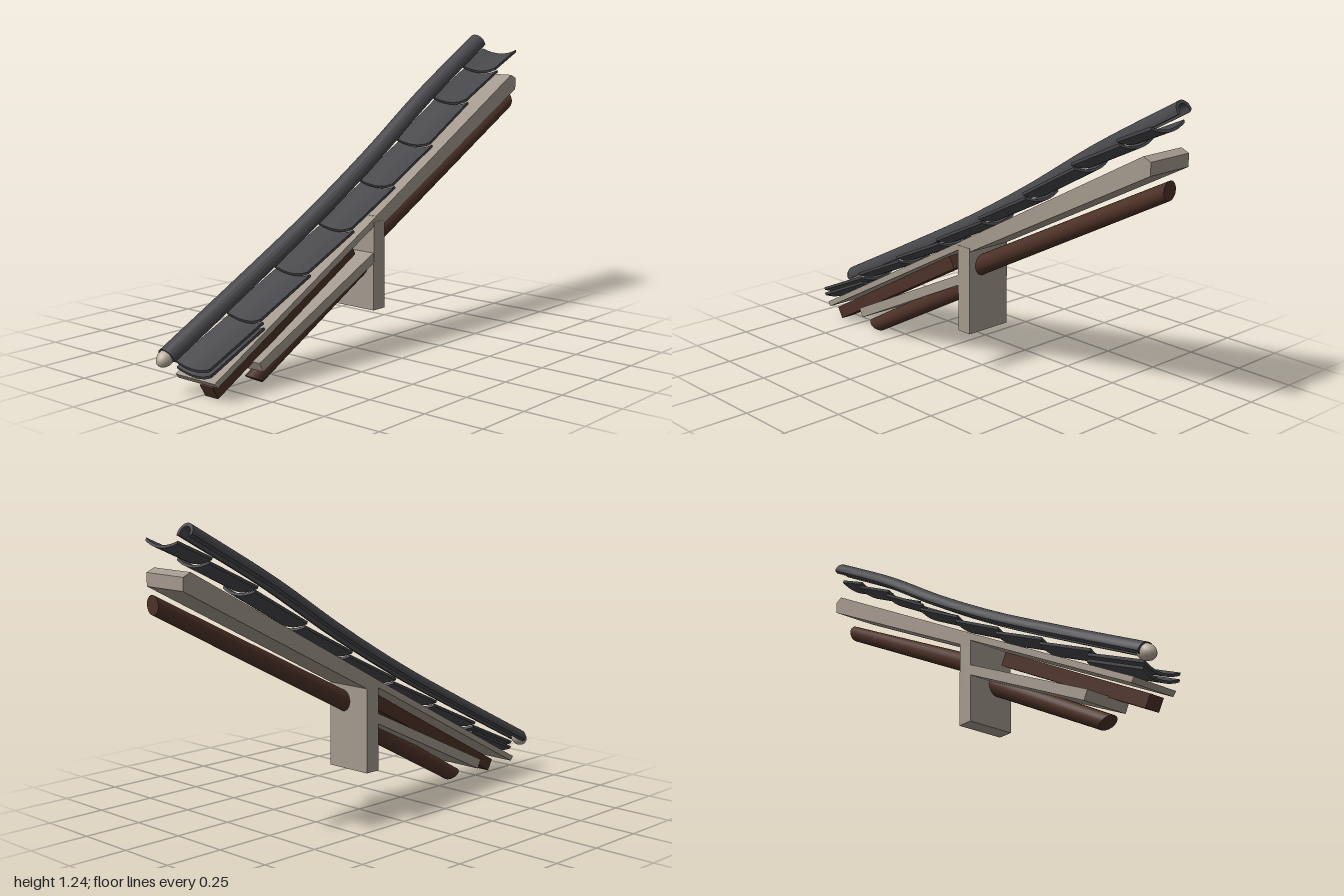
import * as THREE from 'three';
import { toCreasedNormals } from 'three/addons/utils/BufferGeometryUtils.js';

const material = (name, color) => {
  const m = new THREE.MeshStandardMaterial({ color });
  m.name = name;
  return m;
};

export function createModel() {
  const model = new THREE.Group();
  model.name = 'eavesRoofSection';
  const stone = material('weathered grey wood', 0xa3988d);
  const wood = material('dark brown wood', 0x4d3127);
  const tile = material('charcoal tile', 0x47474b);
  const clay = material('pale clay', 0xb8ac9e);

  const add = (name, geometry, mat) => {
    const mesh = new THREE.Mesh(geometry, mat);
    mesh.name = name;
    model.add(mesh);
    return mesh;
  };

  // Side profile in x and y, extruded from z0 to z1
  const slab = (name, points, z0, z1, mat) => {
    const shape = new THREE.Shape(points.map(([x, y]) => new THREE.Vector2(x, y)));
    const geo = new THREE.ExtrudeGeometry(shape, { depth: z1 - z0, bevelEnabled: false });
    return add(name, geo.translate(0, 0, z0), mat);
  };

  // Tapered sloping log with plumb ends; skew slants the lower end
  const log = (name, [x0, y0], [x1, y1], r0, r1, skew) => {
    const slope = (y1 - y0) / (x1 - x0);
    const stretch = Math.hypot(1, slope);
    const geo = new THREE.CylinderGeometry(r0, r1, x1 - x0, 20).rotateZ(Math.PI / 2);
    const p = geo.attributes.position;
    for (let i = 0; i < p.count; i++) {
      const y = p.getY(i) * stretch;
      let x = p.getX(i) + (x0 + x1) / 2;
      if (p.getX(i) < 0) x -= skew * y;
      p.setXYZ(i, x, y + y0 + slope * (x - x0), p.getZ(i) + 0.045);
    }
    add(name, toCreasedNormals(geo, 0.7), wood);
  };

  // Rafters, boards and post
  slab('upperBeam', [[0, 0.505], [0.97, 1.01], [0.97, 1.06], [0.935, 1.075], [0, 0.567]], -0.09, 0.115, stone);
  slab('eavesBoard', [[-0.905, 0.08], [-0.89, 0.062], [0, 0.535], [0, 0.566]], -0.09, 0.115, stone);
  slab('lowerBoard', [[-0.675, 0.107], [-0.655, 0.07], [0, 0.385], [0, 0.428]], -0.09, 0.115, stone);
  slab('post', [[-0.018, 0.183], [0.05, 0.183], [0.05, 0.545], [-0.018, 0.545]], -0.09, 0.117, stone);
  slab('flyingRafter', [[-0.88, 0.052], [-0.853, 0.005], [-0.086, 0.421], [-0.114, 0.47]], 0.011, 0.078, wood);

  // Logs, widest at the post
  log('lowerLog', [-0.635, 0.025], [0, 0.373], 0.033, 0.04, 0.92);
  log('upperLog', [0.03, 0.455], [1, 0.952], 0.04, 0.033, 0);

  // Concave pan tile section: x is across, y is the tile normal
  const half = 0.089, sag = 0.044, thick = 0.011;
  const pan = new THREE.Shape();
  pan.moveTo(-half, 0);
  pan.quadraticCurveTo(0, -sag, half, 0);
  pan.lineTo(half, -thick);
  pan.quadraticCurveTo(0, -sag - thick, -half, -thick);
  const panTile = (name, [x0, y0], [x1, y1]) => {
    const depth = Math.hypot(x1 - x0, y1 - y0);
    const geo = new THREE.ExtrudeGeometry(pan, { depth, bevelEnabled: false, curveSegments: 10 });
    geo.rotateY(Math.PI / 2).rotateZ(Math.atan2(y1 - y0, x1 - x0)).translate(x0, y0, 0.028);
    add(name, toCreasedNormals(geo, 0.5), tile);
  };

  // Overlapping row; each tile starts on top of the one below
  const tips = [[-0.655, 0.262], [-0.395, 0.397], [-0.14, 0.531], [0.115, 0.675],
    [0.36, 0.82], [0.61, 0.98], [0.825, 1.103], [0.965, 1.184]];
  let start = [-0.93, 0.142];
  tips.forEach((tip, i) => {
    panTile('panTile' + (i + 1), start, tip);
    start = [tip[0] - 0.015, tip[1] + 0.012];
  });
  panTile('eavesUnderTile', [-0.925, 0.118], [-0.65, 0.24]);

  // Half-round cover tile run, following the sagging roof line
  const path = new THREE.CatmullRomCurve3([[-0.955, 0.152], [-0.55, 0.356], [-0.16, 0.558],
    [0.2, 0.765], [0.56, 0.992], [0.95, 1.211]].map(([x, y]) => new THREE.Vector3(x, y, 0)));
  const arch = new THREE.Shape();
  arch.moveTo(0.04, -0.01);
  arch.absarc(0, 0, 0.04, 0, Math.PI, false);
  arch.lineTo(-0.04, -0.01);
  arch.lineTo(-0.027, -0.01);
  arch.absarc(0, 0, 0.027, Math.PI, 0, true);
  arch.lineTo(0.027, -0.01);
  const cover = new THREE.ExtrudeGeometry(arch, { depth: 1, steps: 24, bevelEnabled: false, curveSegments: 14 });
  const p = cover.attributes.position;
  for (let i = 0; i < p.count; i++) {
    const t = THREE.MathUtils.clamp(p.getZ(i), 0, 1);
    const c = path.getPointAt(t), d = path.getTangentAt(t);
    p.setXYZ(i, c.x - d.y * p.getY(i), c.y + d.x * p.getY(i), -0.08 - p.getX(i));
  }
  add('coverTile', toCreasedNormals(cover, 0.6), tile);

  // Rounded clay plug at the eaves end
  const plug = add('eavesPlug', new THREE.SphereGeometry(0.031, 16, 12).scale(1.4, 1, 1), clay);
  plug.position.set(-0.959, 0.155, -0.08);
  plug.rotation.z = 0.47;

  return model;
}
